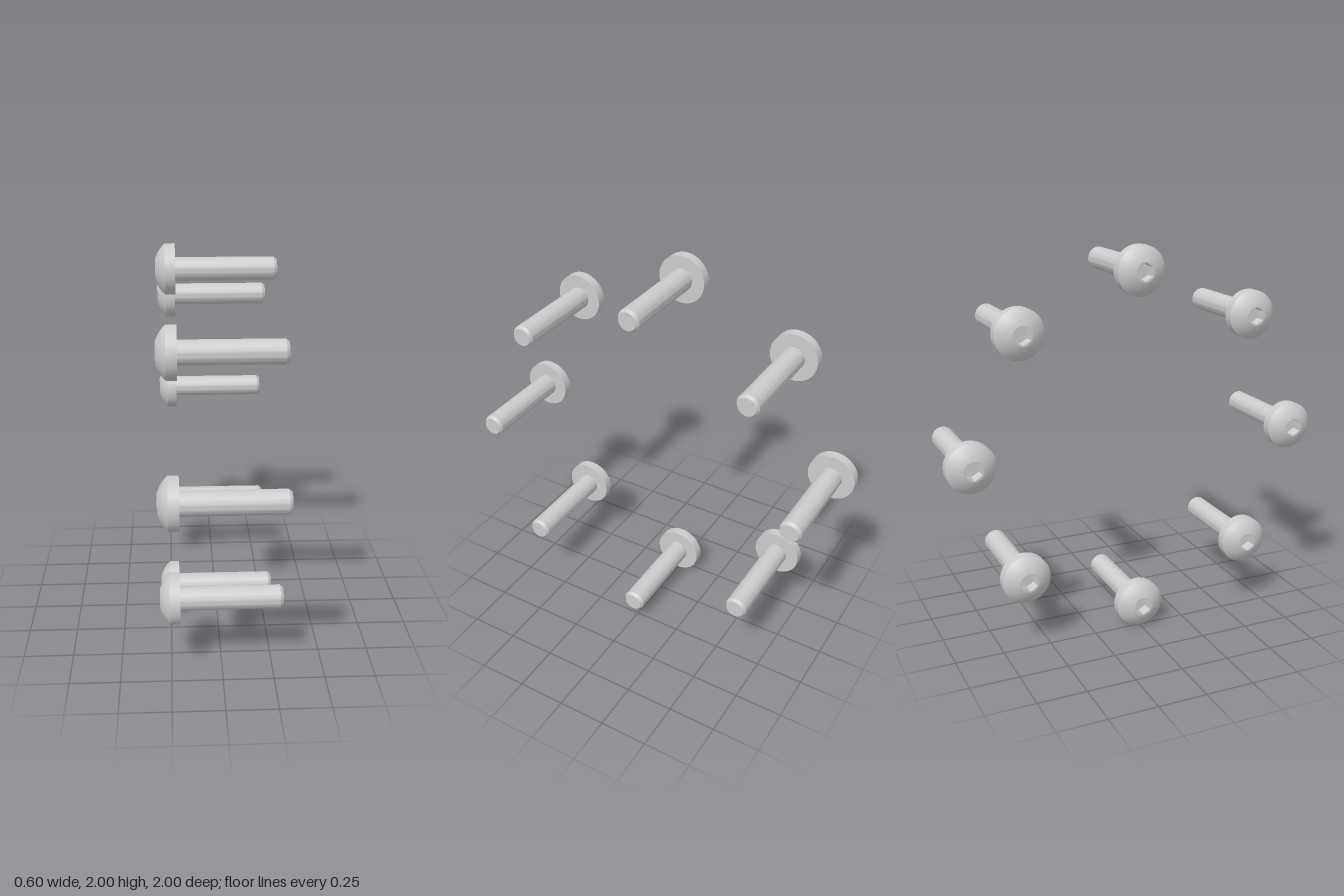
import * as THREE from 'three';
import { toCreasedNormals } from 'three/addons/utils/BufferGeometryUtils.js';

const SEG = 48, BOLTS = 8, RING = 0.875;
const HEAD_END = -0.302, FLAT_R = 0.05, HEX_R = 0.045, SOCKET_DEPTH = 0.06;

// Turned part: profile of [radius, x] pairs, spun around the x axis
function turned(profile) {
  const geo = new THREE.LatheGeometry(profile.map(([r, x]) => new THREE.Vector2(r, x)), SEG);
  geo.rotateZ(-Math.PI / 2);
  return toCreasedNormals(geo, 0.4);
}

function headGeometry() {
  // Spherical dome from the flat to the rim, then the straight rim and underside
  const centre = -0.139, radius = 0.17, profile = [];
  const a0 = Math.asin(FLAT_R / radius), a1 = Math.asin(0.125 / radius);
  for (let i = 0; i <= 8; i++) {
    const a = a0 + (a1 - a0) * i / 8;
    profile.push([radius * Math.sin(a), centre - radius * Math.cos(a)]);
  }
  profile.push([0.125, -0.204], [0.055, -0.204]);
  return turned(profile);
}

function socketGeometry() {
  // Flat end of the dome with a hexagonal hole
  const shape = new THREE.Shape().absarc(0, 0, FLAT_R, 0, Math.PI * 2);
  const hex = [];
  for (let i = 0; i < 6; i++) {
    const a = Math.PI / 6 + i * Math.PI / 3;
    hex.push(new THREE.Vector2(HEX_R * Math.cos(a), HEX_R * Math.sin(a)));
  }
  shape.holes.push(new THREE.Path(hex));
  const geo = new THREE.ExtrudeGeometry(shape, { depth: SOCKET_DEPTH, bevelEnabled: false, curveSegments: 24 });
  geo.translate(0, 0, -SOCKET_DEPTH);
  return geo.rotateY(-Math.PI / 2).translate(HEAD_END, 0, 0);
}

export function createModel() {
  const model = new THREE.Group();
  model.name = 'boltCircle';
  const material = new THREE.MeshStandardMaterial({ color: 0xcccccc });

  const floor = new THREE.CircleGeometry(HEX_R, 6, Math.PI / 6);
  floor.rotateY(-Math.PI / 2).translate(HEAD_END + SOCKET_DEPTH, 0, 0);
  const parts = {
    head: headGeometry(),
    hexSocket: socketGeometry(),
    socketFloor: floor,
    // Shank with a chamfered tip
    shank: turned([[0.058, -0.204], [0.058, 0.283], [0.047, 0.298], [0, 0.298]]),
  };

  // Eight identical bolts around the x axis
  for (let i = 0; i < BOLTS; i++) {
    const a = i * Math.PI * 2 / BOLTS;
    const bolt = new THREE.Group();
    bolt.name = `bolt${i + 1}`;
    for (const [name, geo] of Object.entries(parts)) {
      const mesh = new THREE.Mesh(geo, material);
      mesh.name = name;
      bolt.add(mesh);
    }
    bolt.position.set(0, 1 + RING * Math.cos(a), RING * Math.sin(a));
    model.add(bolt);
  }
  return model;
}
